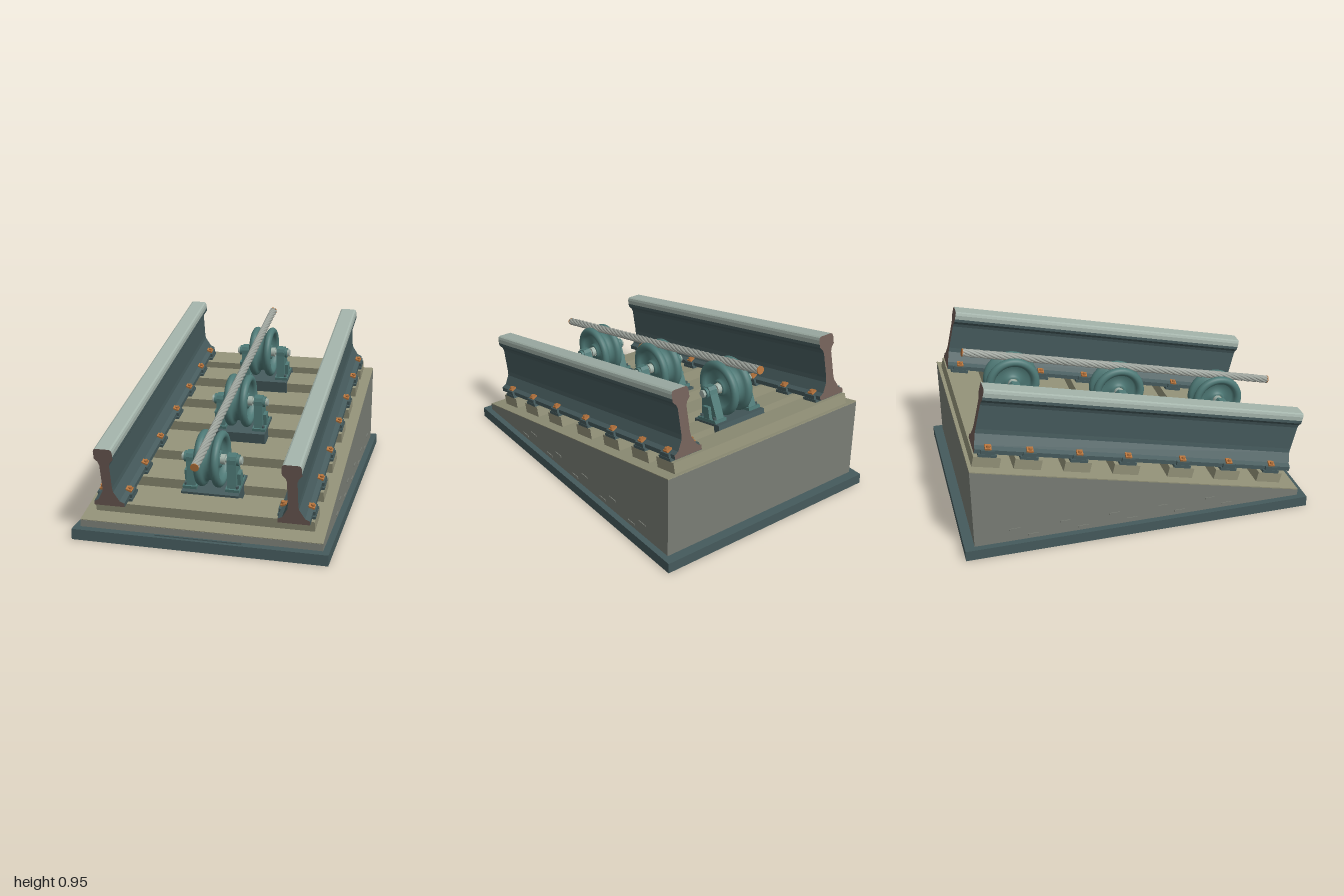
import * as THREE from 'three';

const mat = (name, color) => Object.assign(new THREE.MeshStandardMaterial({ color }), { name });
const M = {
  dark: mat('dark steel', 0x455a5c),
  teal: mat('teal iron', 0x4d7875),
  light: mat('worn steel', 0xa2b2a9),
  brown: mat('cut rail end', 0x6f5d56),
  copper: mat('copper', 0xb5733c),
  stone: mat('grey plinth', 0x797d75),
  wood: mat('olive timber', 0x929178),
  rope: mat('cable steel', 0x9da39c),
};

function add(parent, name, geo, material, x = 0, y = 0, z = 0) {
  const m = new THREE.Mesh(geo, material);
  m.name = name;
  m.position.set(x, y, z);
  parent.add(m);
  return m;
}
const box = (w, h, d) => new THREE.BoxGeometry(w, h, d);
const shapeOf = pts => new THREE.Shape(pts.map(p => new THREE.Vector2(p[0], p[1])));
// symmetric profile from its right half
const mirrored = half => shapeOf([...half, ...half.slice().reverse().map(([x, y]) => [-x, y])]);
const extrude = (shape, depth) =>
  new THREE.ExtrudeGeometry(shape, { depth, bevelEnabled: false, curveSegments: 12 }).translate(0, 0, -depth / 2);
// profile drawn in (z, y), thickness along x
const sideways = (shape, depth) => extrude(shape, depth).rotateY(-Math.PI / 2);
const rod = (r, len, seg = 20) => new THREE.CylinderGeometry(r, r, len, seg).rotateZ(-Math.PI / 2);

const SLOPE = THREE.MathUtils.degToRad(13);
const SLEEPERS = [0.795, 0.525, 0.24, -0.085, -0.367, -0.645, -0.873];
const SHEAVES = [0.62, -0.02, -0.66];

// rail with a dark body, worn head and cut ends
function makeRail() {
  const g = new THREE.Group();
  g.name = 'rail';
  const length = 1.862;
  const body = mirrored([[0.085, 0], [0.085, 0.024], [0.06, 0.036], [0.03, 0.09], [0.027, 0.115],
    [0.027, 0.255], [0.034, 0.275], [0.052, 0.295], [0.052, 0.312]]);
  const head = mirrored([[0.052, 0.312], [0.052, 0.336], [0.047, 0.35], [0.038, 0.355]]);
  add(g, 'railBody', extrude(body, length), [M.brown, M.dark]);
  add(g, 'railHead', extrude(head, length), [M.brown, M.light]);
  return g;
}

// tie plate with a clip and bolt on each side of the rail foot
function makeFastening() {
  const g = new THREE.Group();
  g.name = 'railFastening';
  add(g, 'tiePlate', box(0.2, 0.016, 0.1), M.dark, 0, 0.008, 0);
  for (const s of [-1, 1]) {
    add(g, 'clipSeat', box(0.026, 0.022, 0.075), M.dark, s * 0.085, 0.027, 0);
    const clip = add(g, 'clip', box(0.036, 0.014, 0.036), M.copper, s * 0.073, 0.046, 0);
    clip.rotation.z = -s * 0.3;
    add(g, 'clipBolt', new THREE.CylinderGeometry(0.011, 0.011, 0.014, 6), M.copper, s * 0.079, 0.056, 0);
  }
  return g;
}

// grooved wheel on an axle between two pedestals
function makeSheave() {
  const g = new THREE.Group();
  g.name = 'sheaveUnit';
  const axisY = 0.235;
  add(g, 'bedBlock', box(0.32, 0.074, 0.21), M.dark, 0, 0.037, 0);

  // wheel section: radius, offset along the axle
  const section = [[0.03, -0.05], [0.045, -0.05], [0.05, -0.03], [0.1, -0.03], [0.108, -0.055]];
  for (let i = 0; i <= 8; i++) {
    const a = -2.2 + (i / 8) * 3.6;
    section.push([0.132 + 0.023 * Math.cos(a), -0.047 + 0.023 * Math.sin(a)]);
  }
  section.push([0.122, -0.017], [0.117, 0]);
  const full = [...section, ...section.slice(0, -1).reverse().map(([r, x]) => [r, -x])];
  const wheel = new THREE.LatheGeometry(full.map(p => new THREE.Vector2(p[0], p[1])), 40).rotateZ(-Math.PI / 2);
  add(g, 'grooveWheel', wheel, M.teal, 0, axisY, 0);
  add(g, 'axle', rod(0.017, 0.3), M.light, 0, axisY, 0);

  const pedestal = mirrored([[0.065, 0.09], [0.06, 0.115], [0.036, 0.225], [0.033, 0.25], [0.022, 0.268]]);
  for (const s of [-1, 1]) {
    add(g, 'pedestalFoot', box(0.078, 0.018, 0.15), M.teal, s * 0.119, 0.082, 0);
    add(g, 'pedestal', sideways(pedestal, 0.05), M.teal, s * 0.113, 0, 0);
    add(g, 'pedestalRib', box(0.022, 0.07, 0.05), M.teal, s * 0.146, 0.125, 0);
    add(g, 'bearingBoss', rod(0.031, 0.02), M.teal, s * 0.143, axisY, 0);
    add(g, 'hubWasher', rod(0.028, 0.025), M.light, s * 0.062, axisY, 0);
    add(g, 'axleNut', rod(0.022, 0.017, 6), M.light, s * 0.159, axisY, 0);
    for (const t of [-1, 1])
      add(g, 'footBolt', new THREE.CylinderGeometry(0.01, 0.01, 0.014, 6), M.dark, s * 0.143, 0.098, t * 0.056);
  }
  return g;
}

// rope of six twisted strands with copper end faces
function makeCable() {
  const g = new THREE.Group();
  g.name = 'cable';
  const z0 = -0.968, z1 = 0.934, turns = 7, r = 0.0145;
  class Strand extends THREE.Curve {
    constructor(phase) { super(); this.phase = phase; }
    getPoint(t, out = new THREE.Vector3()) {
      const a = this.phase + t * turns * Math.PI * 2;
      return out.set(r * Math.cos(a), r * Math.sin(a), z0 + (z1 - z0) * t);
    }
  }
  for (let i = 0; i < 6; i++)
    add(g, 'cableStrand', new THREE.TubeGeometry(new Strand(i * Math.PI / 3), 160, 0.0092, 8), M.rope);
  add(g, 'cableCore', new THREE.CylinderGeometry(0.015, 0.015, z1 - z0, 12).rotateX(Math.PI / 2), M.rope, 0, 0, (z0 + z1) / 2);
  for (const z of [z0, z1])
    add(g, 'cableEnd', new THREE.CylinderGeometry(0.0225, 0.0225, 0.006, 18).rotateX(Math.PI / 2), M.copper, 0, 0, z);
  return g;
}

export function createModel() {
  const model = new THREE.Group();
  model.name = 'inclinedCableTrack';

  // base and wedge
  add(model, 'basePlate', box(1.39, 0.06, 1.985), M.dark, 0, 0.03, -0.0075);
  const wedge = shapeOf([[0.94, 0.06], [0.94, 0.097], [-0.945, 0.532], [-0.945, 0.06]]);
  add(model, 'wedge', sideways(wedge, 1.32), M.stone);
  add(model, 'frontStrip', box(0.47, 0.006, 0.012), M.dark, 0, 0.063, 0.958);

  // low raised marks along the wedge sides
  for (const s of [-1, 1])
    for (let i = 0; i < 5; i++)
      for (let row = 0; row < 2; row++)
        add(model, 'sideMark', box(0.008, 0.01, 0.06), M.stone, s * 0.66, 0.085 + row * 0.05, 0.5 - i * 0.28 - row * 0.1);

  // everything lying on the slope
  const incline = new THREE.Group();
  incline.name = 'incline';
  incline.position.y = 0.317;
  incline.rotation.x = SLOPE;
  model.add(incline);
  add(incline, 'slopeDeck', box(1.32, 0.006, 1.933), M.wood, 0, -0.002, -0.0025);

  for (const z of SLEEPERS) {
    add(incline, 'sleeper', box(1.2, 0.061, 0.15), M.wood, 0, 0.0305, z);
    for (const s of [-1, 1]) {
      const f = makeFastening();
      f.position.set(s * 0.5, 0.06, z);
      incline.add(f);
    }
  }
  for (const s of [-1, 1]) {
    const rail = makeRail();
    rail.position.set(s * 0.5, 0.073, -0.014);
    incline.add(rail);
  }
  for (const z of SHEAVES) {
    const sheave = makeSheave();
    sheave.position.z = z;
    incline.add(sheave);
  }
  const cable = makeCable();
  cable.position.y = 0.378;
  incline.add(cable);
  return model;
}
